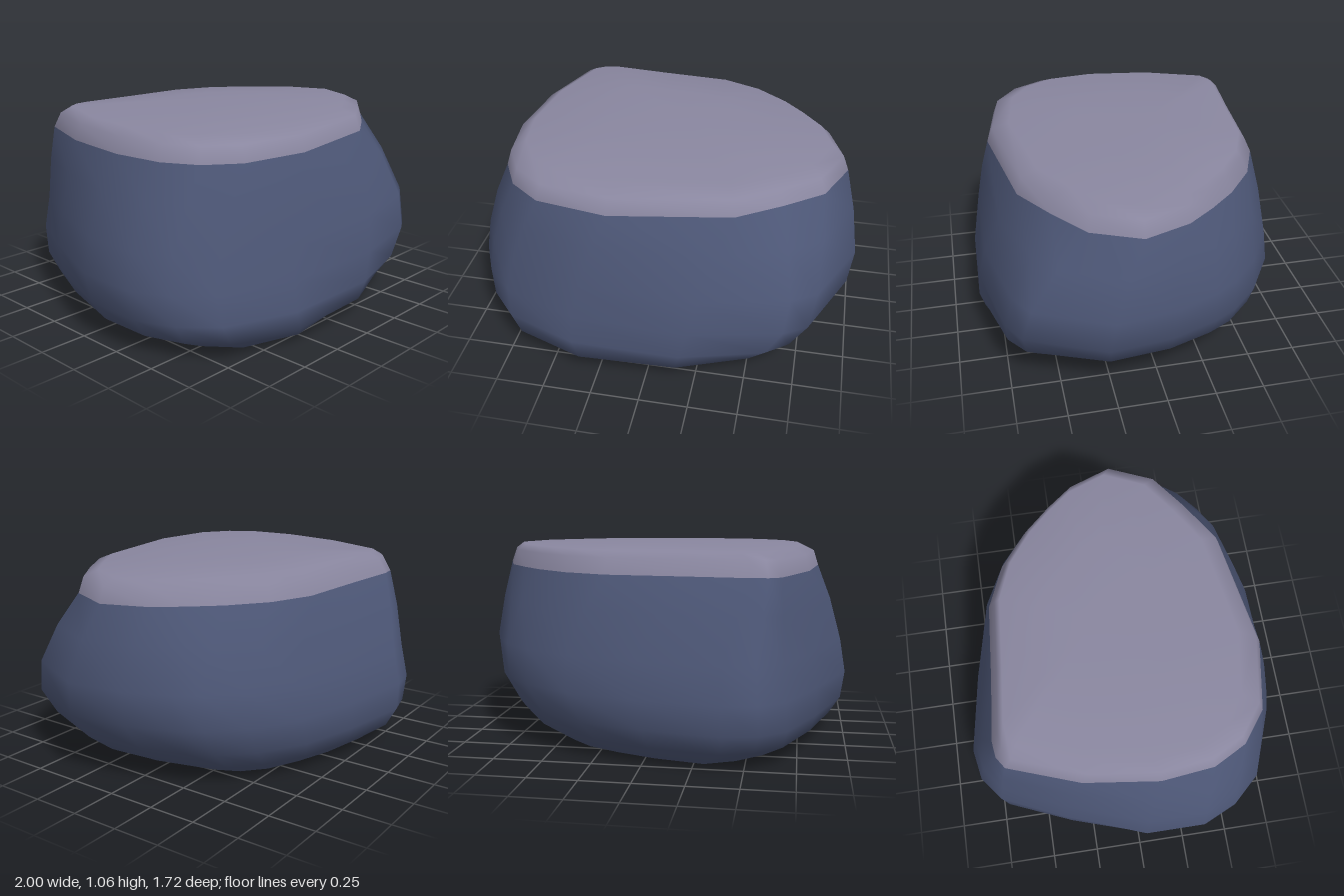
import * as THREE from 'three';

// Matching outlines [x, z], each listed from the right side round by the back
const base = [[-.74, .1], [-.69, -.2], [-.58, -.48], [-.45, -.6], [-.3, -.67], [-.05, -.62], [.15, -.55],
  [.32, -.47], [.43, -.37], [.49, -.25], [.53, -.1], [.54, .12], [.47, .42], [.38, .55], [.14, .71],
  [-.25, .76], [-.55, .66], [-.68, .5], [-.73, .32]];
const belly = [[-1, .03], [-.84, -.4], [-.69, -.73], [-.56, -.83], [-.39, -.86], [.05, -.79], [.4, -.7],
  [.65, -.55], [.8, -.4], [.87, -.28], [.96, -.04], [1, .28], [.82, .68], [.7, .75], [.23, .85],
  [-.37, .83], [-.76, .69], [-.91, .54], [-1, .35]];
const crown = [[-.84, .1], [-.79, -.28], [-.66, -.64], [-.6, -.68], [-.52, -.69], [-.2, -.66], [.2, -.63],
  [.42, -.54], [.6, -.4], [.72, -.27], [.83, -.13], [.915, .1], [.81, .34], [.62, .48], [.4, .62],
  [-.2, .72], [-.56, .66], [-.72, .54], [-.81, .37]];

// Levels: y, outline blended from, to, amount, then x and z extents
const levels = [
  [0, base, belly, 0, -.74, .54, -.67, .76],
  [.09, base, belly, .5, -.92, .75, -.8, .85],
  [.19, base, belly, .8, -.98, .87, -.85, .86],
  [.34, base, belly, 1, -1, .975, -.86, .85],
  [.52, belly, crown, .12, -.97, 1, -.82, .81],
  [.74, belly, crown, .55, -.91, .965, -.76, .77],
  [.92, belly, crown, 1, -.84, .915, -.69, .73],
  [1, belly, crown, 1, -.815, .885, -.65, .7],
  [1.034, belly, crown, 1, -.75, .83, -.615, .61],
  [1.048, belly, crown, 1, -.38, .42, -.36, .26],
];
const CAP_START = 6; // the pale cap begins at this level

// Blend two outlines and stretch the result to the wanted extents
function ring([y, from, to, t, x0, x1, z0, z1]) {
  const pts = from.map((p, i) => [0, 1].map(k => THREE.MathUtils.lerp(p[k], to[i][k], t)));
  const fit = (k, lo, hi) => {
    const vals = pts.map(p => p[k]);
    const min = Math.min(...vals), max = Math.max(...vals);
    return v => THREE.MathUtils.mapLinear(v, min, max, lo, hi);
  };
  const fx = fit(0, x0, x1), fz = fit(1, z0, z1);
  return pts.flatMap(([x, z]) => [fx(x), y, fz(z)]);
}

export function createModel() {
  const stone = new THREE.MeshStandardMaterial({ color: 0x4e5878, side: THREE.DoubleSide });
  stone.name = 'blueStone';
  const cap = new THREE.MeshStandardMaterial({ color: 0x8a87a0, side: THREE.DoubleSide });
  cap.name = 'paleCap';

  const n = base.length;
  const positions = [...levels.flatMap(ring), 0, 1.057, -.1];
  const index = [];
  let capIndex = 0;

  // Walls between neighbouring levels, open underneath
  for (let l = 0; l < levels.length - 1; l++) {
    if (l === CAP_START) capIndex = index.length;
    for (let i = 0; i < n; i++) {
      const a = l * n + i, b = l * n + (i + 1) % n;
      index.push(a, a + n, b + n, a, b + n, b);
    }
  }
  // Shallow peak closing the top
  const last = (levels.length - 1) * n;
  for (let i = 0; i < n; i++) index.push(last + (i + 1) % n, last + i, last + n);

  const geometry = new THREE.BufferGeometry();
  geometry.setAttribute('position', new THREE.Float32BufferAttribute(positions, 3));
  geometry.setIndex(index);
  geometry.addGroup(0, capIndex, 0);
  geometry.addGroup(capIndex, index.length - capIndex, 1);
  geometry.computeVertexNormals();

  const boulder = new THREE.Mesh(geometry, [stone, cap]);
  boulder.name = 'boulder';
  const group = new THREE.Group();
  group.name = 'rock';
  group.add(boulder);
  return group;
}
